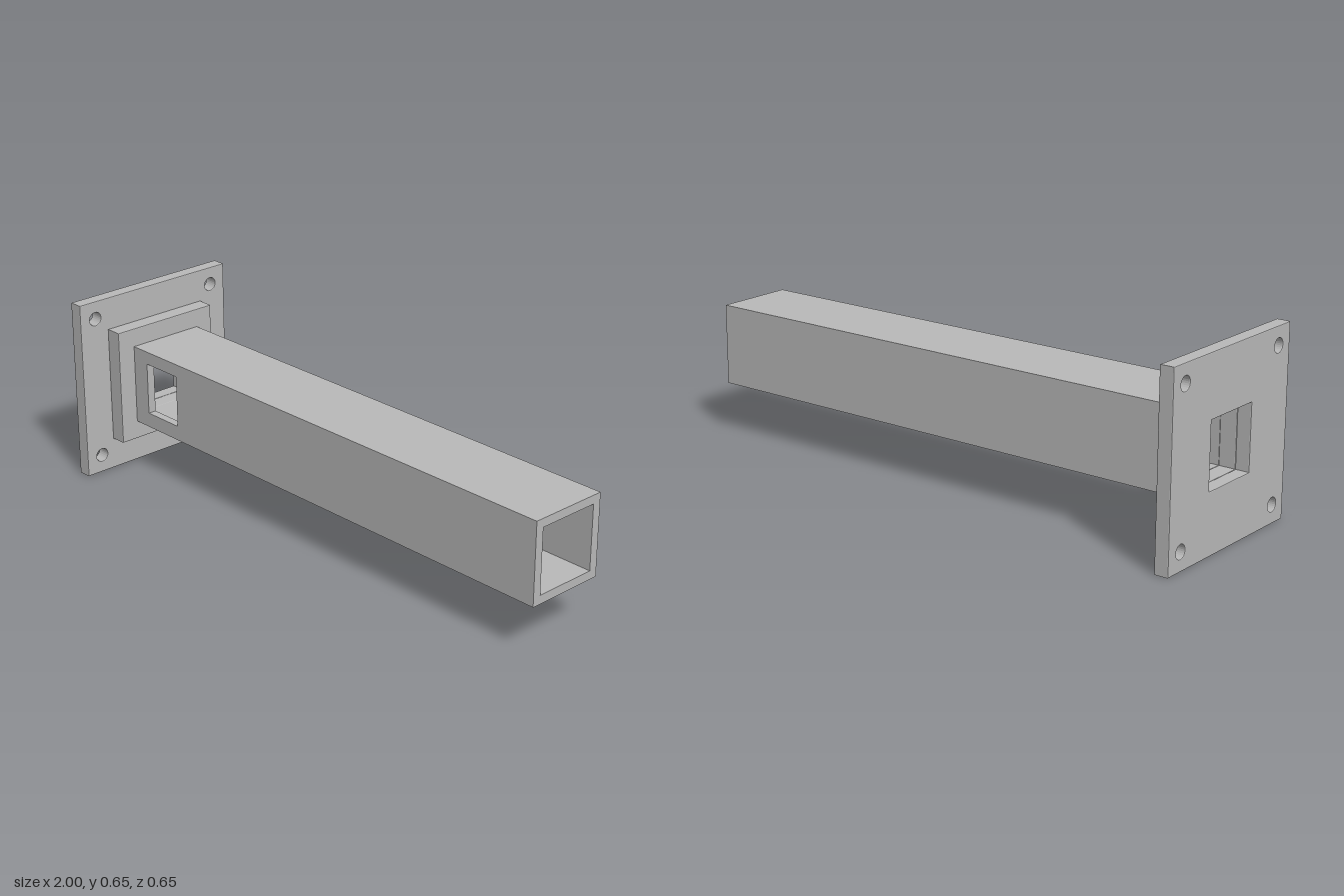
import * as THREE from 'three';

const CENTER_Y = 0.325; // height of the tube axis
const BORE = 0.113;     // half width of the square bore
const OUTER = 0.143;    // half width of the tube

// Traces a rectangle on a Shape or Path
function rect(path, x0, y0, x1, y1) {
  path.moveTo(x0, y0);
  path.lineTo(x1, y0);
  path.lineTo(x1, y1);
  path.lineTo(x0, y1);
  path.closePath();
  return path;
}

// Extrudes a cross-section along x, from x0 to x1; the shape's x runs along -z
function extrudeAlongX(shape, x0, x1, bevel) {
  const geometry = new THREE.ExtrudeGeometry(shape, {
    depth: x1 - x0 - 2 * bevel,
    curveSegments: 12,
    bevelEnabled: bevel > 0,
    bevelSize: bevel,
    bevelThickness: bevel,
    bevelOffset: -bevel,
    bevelSegments: 2,
  });
  geometry.translate(0, 0, x0 + bevel);
  geometry.rotateY(Math.PI / 2);
  return geometry;
}

// Square plate with the square bore through it
function squarePlate(half) {
  const shape = rect(new THREE.Shape(), -half, -half, half, half);
  shape.holes.push(rect(new THREE.Path(), -BORE, -BORE, BORE, BORE));
  return shape;
}

export function createModel() {
  const group = new THREE.Group();
  group.name = 'flangedSquareTube';
  const steel = new THREE.MeshStandardMaterial({ color: 0xb8b8b8 });
  steel.name = 'grey steel';

  function add(name, geometry) {
    const mesh = new THREE.Mesh(geometry, steel);
    mesh.name = name;
    mesh.position.y = CENTER_Y;
    group.add(mesh);
  }

  // Mounting plate with four bolt holes
  const plate = squarePlate(0.324);
  for (const sx of [-1, 1]) {
    for (const sy of [-1, 1]) {
      plate.holes.push(new THREE.Path().absarc(sx * 0.26, sy * 0.26, 0.024, 0, Math.PI * 2));
    }
  }
  add('mountingPlate', extrudeAlongX(plate, -1, -0.95, 0.003));

  // Stepped collar between plate and tube
  add('collar', extrudeAlongX(squarePlate(0.209), -0.95, -0.89, 0.003));

  // Top, back and bottom walls of the tube as one channel
  const channel = new THREE.Shape();
  const outline = [
    [-BORE, -OUTER], [OUTER, -OUTER], [OUTER, OUTER], [-BORE, OUTER],
    [-BORE, BORE], [BORE, BORE], [BORE, -BORE], [-BORE, -BORE],
  ];
  channel.setFromPoints(outline.map(([x, y]) => new THREE.Vector2(x, y)));
  add('tubeChannel', extrudeAlongX(channel, -0.89, 1, 0));

  // Front wall of the tube with its window
  const wall = rect(new THREE.Shape(), -0.89, -OUTER, 1, OUTER);
  wall.holes.push(rect(new THREE.Path(), -0.82, -0.09, -0.66, 0.097));
  const wallGeometry = new THREE.ExtrudeGeometry(wall, { depth: OUTER - BORE, bevelEnabled: false });
  wallGeometry.translate(0, 0, BORE);
  add('tubeFrontWall', wallGeometry);

  return group;
}
